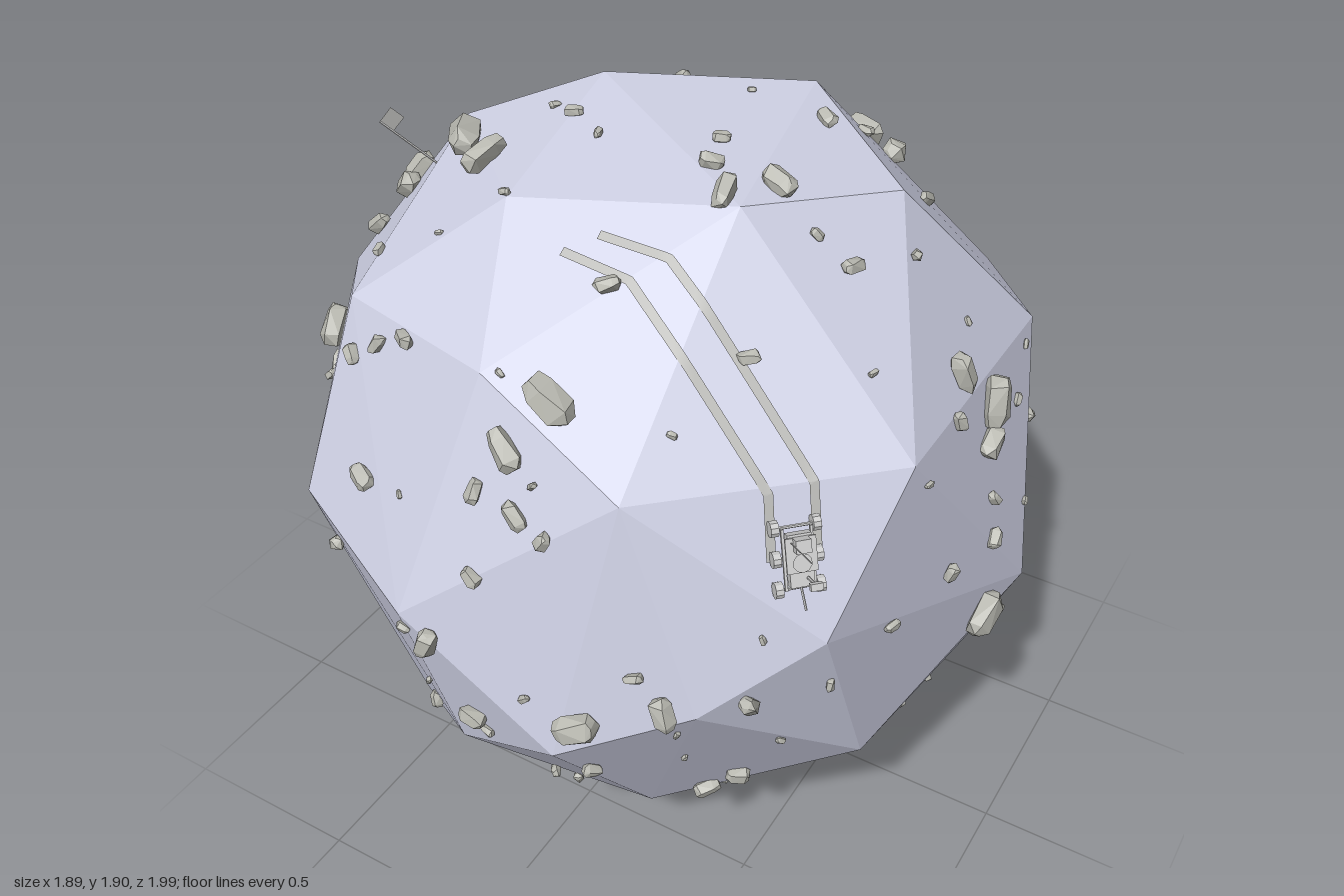
import * as THREE from 'three';
import { ConvexGeometry } from 'three/addons/geometries/ConvexGeometry.js';

const V = (x, y, z) => new THREE.Vector3(x, y, z);
const CENTRE = V(0, 0.95, 0);
const groundMat = new THREE.MeshStandardMaterial({ color: 0xd0d2e6, flatShading: true });
const rockMat = new THREE.MeshStandardMaterial({ color: 0xb8b8b0, flatShading: true });
const greyMat = new THREE.MeshStandardMaterial({ color: 0xcccccc, flatShading: true });
const thinMat = new THREE.MeshStandardMaterial({ color: 0xb9b9b6, side: THREE.DoubleSide });

let seed = 7;
const rand = () => {
  seed = (seed * 16807) % 2147483647;
  return seed / 2147483647;
};
const spread = (a) => (rand() * 2 - 1) * a;

// Corners of the faceted moon
const corners = [
  -.06, 1.58, .74, .33, 1.41, .80, .80, 1.39, .33, -.56, 1.53, .58, .30, 1.85, .24, -.20, 1.82, .42,
  -.30, 1.88, -.14, .15, 1.85, -.42, .52, 1.77, -.15, -.62, 1.75, .01, -.08, 1.62, -.74,
  -.20, .97, .95, -.64, 1.02, .75, .20, .68, .92, .74, 1.05, .60, .52, .87, .80,
  .09, 1.05, -1.0, .78, 1.34, -.45, .54, 1.28, -.76, .95, .79, -.13, .57, .75, -.79,
  .76, .51, .39, .80, .42, -.19, .27, .24, .60, -.13, .50, .85, -.42, .34, .65, -.66, .26, .28,
  -.11, .02, .27, .26, .02, .10, .57, .16, -.04, -.05, .11, -.50, -.36, .05, -.16,
  .41, .27, -.60, .18, .46, -.82, -.93, .77, .22, -.74, .29, -.08, -.91, 1.32, .18,
  -.88, 1.32, -.28, -.54, 1.57, -.53, -.44, 1.31, -.81, -.56, .54, -.69, -.89, .86, -.44, -.37, .79, -.89,
];

// Returns a function that drops a point onto the moon's facets along its radius
function makeSurface(geometry) {
  const p = geometry.attributes.position;
  const planes = [];
  for (let i = 0; i < p.count; i += 3) {
    const [a, b, c] = [0, 1, 2].map((k) => new THREE.Vector3().fromBufferAttribute(p, i + k).sub(CENTRE));
    const n = b.clone().sub(a).cross(c.clone().sub(a)).normalize();
    planes.push({ n, d: n.dot(a) });
  }
  return (point) => {
    const dir = point.clone().sub(CENTRE).normalize();
    let best = Infinity, normal = dir;
    for (const { n, d } of planes) {
      const k = n.dot(dir);
      if (k > 1e-4 && d / k < best) { best = d / k; normal = n; }
    }
    return { pos: dir.multiplyScalar(best).add(CENTRE), normal };
  };
}

// Stands an object on the ground with its z axis along `forward`
function stand(object, { pos, normal }, forward) {
  const side = normal.clone().cross(forward).normalize();
  const front = side.clone().cross(normal);
  object.quaternion.setFromRotationMatrix(new THREE.Matrix4().makeBasis(side, normal, front));
  object.position.copy(pos);
  return object;
}

function part(parent, name, geometry, x, y, z, mat = greyMat) {
  const m = new THREE.Mesh(geometry, mat);
  m.name = name;
  m.position.set(x, y, z);
  parent.add(m);
  return m;
}

// Chunky, chamfered stone about one unit long
function rockGeometry() {
  const pts = [];
  for (const [x, r] of [[-.5, .22], [-.33, .36], [.33, .36], [.5, .22]]) {
    const turn = spread(.25);
    for (let i = 0; i < 5; i++) {
      const a = i / 5 * Math.PI * 2 + turn;
      pts.push(V(x + spread(.08), Math.cos(a) * r + spread(.05), Math.sin(a) * r + spread(.05)));
    }
  }
  return new ConvexGeometry(pts);
}

// Boulders: two coordinates and a size, seen along one axis
const boulders = {
  front: [.11, 1.56, .11, .04, 1.46, .09, .26, .79, .10, .46, .88, .08, .62, .89, .07, -.62, .53, .09, -.12, .92, .08,
    -.42, 1.2, .07, .09, 1.33, .07, -.43, 1.49, .05, -.72, 1.35, .10, -.04, .67, .07, -.29, .3, .06, -.8, .65, .08,
    .25, .57, .05, .43, .32, .06, .29, .16, .05, .11, .05, .06, -.86, 1.12, .07, -.73, 1.62, .08],
  right: [-.11, 1.33, .11, 0, 1.46, .09, -.05, 1.25, .08, .03, .76, .11, -.38, .57, .09, -.26, .33, .08,
    -.62, .46, .08, -.57, 1.65, .09, .02, 1, .05, .2, 1, .05, -.36, .9, .05, .22, .15, .05, -.23, .1, .05],
  top: [-.51, .14, .11, -.72, .14, .08, -.38, .25, .10, .23, -.57, .09, .32, .1, .08, .16, .12, .06, .54, .12, .06,
    -.07, -.64, .05, .13, -.75, .05, -.26, .06, .04, .25, .22, .08],
  back: [-.3, .67, .12, -.54, 1.11, .06, -.7, 1.25, .06, -.72, .93, .08, .1, .6, .08, -.1, .3, .08, .2, 1.2, .06],
};
const depth = (a, b) => Math.sqrt(Math.max(.01, .92 - a * a - b * b));
const lift = {
  front: (a, b) => V(a, b, depth(a, b - .95)),
  back: (a, b) => V(a, b, -depth(a, b - .95)),
  right: (a, b) => V(depth(a, b - .95), b, a),
  top: (a, b) => V(a, .95 + depth(a, b), b),
};

function addRocks(root, surface) {
  const rocks = new THREE.Group();
  rocks.name = 'rocks';
  const shapes = Array.from({ length: 7 }, rockGeometry);
  const add = (point, size) => {
    const spot = surface(point);
    const holder = stand(new THREE.Group(), spot, V(spread(1), spread(1), spread(1)));
    holder.name = 'rock';
    const m = part(holder, 'stone', shapes[Math.floor(rand() * 7)], 0, size * .2, 0, rockMat);
    m.scale.set(size, size * (.8 + rand() * .3), size * (.8 + rand() * .3));
    m.rotation.set(spread(3), 0, spread(.5));
    rocks.add(holder);
  };
  for (const [view, list] of Object.entries(boulders))
    for (let i = 0; i < list.length; i += 3) add(lift[view](list[i], list[i + 1]), list[i + 2]);
  // Small stones spread evenly over the whole moon
  for (let i = 0; i < 130; i++) {
    const y = 1 - 2 * (i + .5) / 130, a = i * 2.39996 + spread(.25), r = Math.sqrt(1 - y * y);
    const p = V(Math.cos(a) * r, y + spread(.08), Math.sin(a) * r).add(CENTRE);
    if (p.distanceTo(V(.66, 1.3, .6)) > .2) add(p, .02 + .045 * rand() * rand() + (i % 5 === 0 ? .02 : 0));
  }
  root.add(rocks);
}

// Flat wheel mark following the ground
function wheelTrack(points, surface) {
  const pos = [], index = [], steps = 14;
  for (let s = 0; s < points.length - 1; s++) {
    for (let i = 0; i <= steps; i++) {
      const { pos: p, normal } = surface(points[s].clone().lerp(points[s + 1], i / steps));
      const side = points[s + 1].clone().sub(points[s]).cross(normal).setLength(.011);
      p.addScaledVector(normal, .004);
      pos.push(...p.clone().add(side).toArray(), ...p.clone().sub(side).toArray());
      const k = pos.length / 3 - 4;
      if (s + i > 0) index.push(k, k + 1, k + 2, k + 1, k + 3, k + 2);
    }
  }
  const g = new THREE.BufferGeometry();
  g.setAttribute('position', new THREE.Float32BufferAttribute(pos, 3));
  g.setIndex(index);
  g.computeVertexNormals();
  return g;
}

// Six-wheeled rover, front along +z
function makeRover() {
  const rover = new THREE.Group();
  rover.name = 'rover';
  part(rover, 'chassis', new THREE.BoxGeometry(.055, .022, .12), 0, .04, 0);
  part(rover, 'deck', new THREE.BoxGeometry(.07, .006, .08), 0, .055, -.015);
  part(rover, 'equipmentBox', new THREE.BoxGeometry(.035, .025, .03), 0, .068, -.04);
  const wheel = new THREE.CylinderGeometry(.019, .019, .018, 10).rotateZ(Math.PI / 2);
  for (const z of [-.07, 0, .07]) {
    part(rover, 'axle', new THREE.CylinderGeometry(.004, .004, .1, 6).rotateZ(Math.PI / 2), 0, .021, z);
    for (const s of [-1, 1]) part(rover, 'wheel', wheel, s * .048, .019, z);
  }
  for (const s of [-1, 1]) part(rover, 'sideBar', new THREE.BoxGeometry(.006, .008, .14), s * .033, .032, 0);
  part(rover, 'cameraMast', new THREE.CylinderGeometry(.003, .004, .05, 6), .012, .08, .04);
  part(rover, 'cameraHead', new THREE.BoxGeometry(.028, .014, .016), .012, .108, .042);
  part(rover, 'dish', new THREE.CylinderGeometry(.022, .008, .01, 10), -.01, .09, -.01);
  part(rover, 'antenna', new THREE.CylinderGeometry(.0015, .0015, .15, 5), -.022, .125, -.045);
  const arm = part(rover, 'arm', new THREE.CylinderGeometry(.003, .003, .06, 6), 0, .045, .085);
  arm.rotation.x = 1.1;
  return rover;
}

export function createModel() {
  const root = new THREE.Group();
  const pts = [];
  for (let i = 0; i < corners.length; i += 3) pts.push(V(corners[i], corners[i + 1], corners[i + 2]));
  const moon = new ConvexGeometry(pts);
  part(root, 'moon', moon, 0, 0, 0, groundMat);
  const surface = makeSurface(moon);
  addRocks(root, surface);

  // Wheel marks leading to the rover
  const paths = [
    [V(.04, 1.79, .41), V(.21, 1.77, .39), V(.64, 1.40, .50), V(.71, 1.28, .57)],
    [V(-.02, 1.76, .47), V(.15, 1.73, .46), V(.57, 1.39, .58), V(.63, 1.26, .65)],
  ];
  for (const path of paths) part(root, 'wheelTrack', wheelTrack(path, surface), 0, 0, 0, thinMat);
  root.add(stand(makeRover(), surface(V(.67, 1.27, .61)), V(.07, -.13, .07)));

  // Flag planted on the upper side
  const flag = new THREE.Group();
  flag.name = 'flag';
  part(flag, 'pole', new THREE.CylinderGeometry(.003, .003, .18, 6), 0, .08, 0);
  part(flag, 'cloth', new THREE.PlaneGeometry(.065, .04).rotateY(Math.PI / 2), 0, .15, .034, thinMat);
  root.add(stand(flag, surface(V(-.6, 1.68, .17)), V(.7, .6, 0)));
  return root;
}
